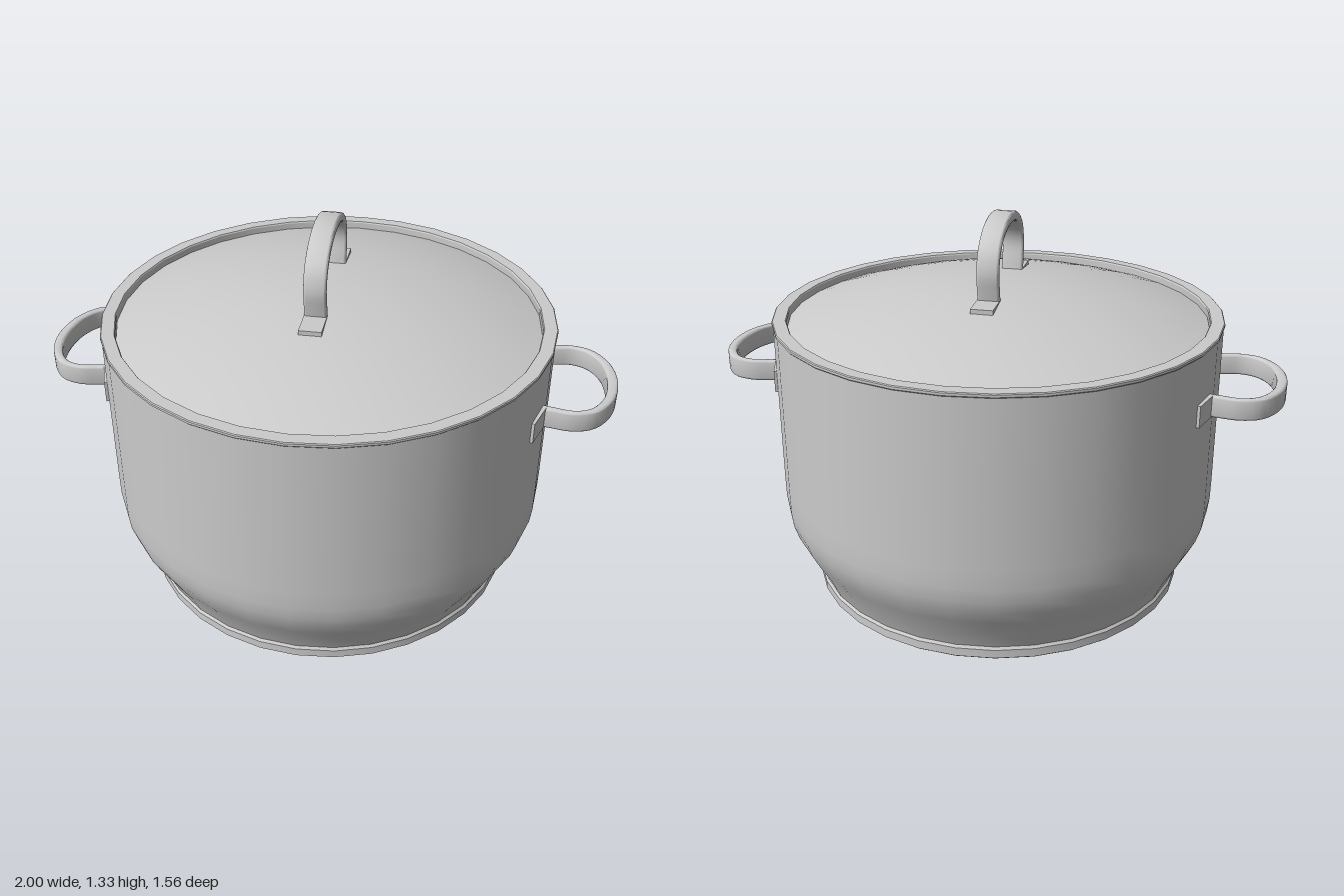
import * as THREE from 'three';
import { toCreasedNormals } from 'three/addons/utils/BufferGeometryUtils.js';

const metal = new THREE.MeshStandardMaterial({ color: 0xcccccc });
const SIDES = 32;
const STRAP = 0.076; // strap width of every handle

function addMesh(parent, name, geometry) {
  const mesh = new THREE.Mesh(geometry, metal);
  mesh.name = name;
  parent.add(mesh);
  return mesh;
}

function lathe(points) {
  const profile = points.map(([r, y]) => new THREE.Vector2(r, y));
  return toCreasedNormals(new THREE.LatheGeometry(profile, SIDES), 0.5);
}

// Mirrors half an arch (foot to crown) and smooths it
function arch(half) {
  const right = half.map(([s, h]) => new THREE.Vector2(s, h));
  const left = half.slice(0, -1).reverse().map(([s, h]) => new THREE.Vector2(-s, h));
  return new THREE.SplineCurve([...right, ...left]).getPoints(36);
}

// Strap handle: arch in local xy rising along +y, with a flat tab at each foot
function strapHandle(name, tabTilt, tabHeight) {
  const group = new THREE.Group();
  group.name = name;
  const outer = arch([[0.203, -0.02], [0.212, 0.03], [0.22, 0.1], [0.193, 0.175], [0.11, 0.231], [0, 0.25]]);
  const inner = arch([[0.178, -0.02], [0.187, 0.03], [0.198, 0.1], [0.172, 0.158], [0.1, 0.2], [0, 0.214]]);
  const bevel = 0.009;
  const bow = new THREE.ExtrudeGeometry(new THREE.Shape([...outer, ...inner.reverse()]), {
    depth: STRAP - 2 * bevel, bevelEnabled: true, bevelThickness: bevel,
    bevelSize: bevel, bevelOffset: -bevel, bevelSegments: 3,
  });
  bow.translate(0, 0, bevel - STRAP / 2);
  addMesh(group, 'bow', toCreasedNormals(bow, 0.7));
  for (const side of [-1, 1]) {
    const tab = addMesh(group, 'tab', new THREE.BoxGeometry(0.108, 0.016, STRAP));
    tab.position.set(side * 0.25, tabHeight, 0);
    tab.rotation.z = -side * tabTilt;
  }
  return group;
}

export function createModel() {
  const model = new THREE.Group();
  model.name = 'cookingPot';

  // Pot: base disc, flared lower wall, straight side, flat rim, inner wall and floor
  addMesh(model, 'potBody', lathe([
    [0, 0], [0.66, 0], [0.667, 0.006], [0.667, 0.036], [0.66, 0.045],
    [0.69, 0.115], [0.727, 0.18], [0.752, 0.23], [0.768, 0.28], [0.774, 0.33],
    [0.775, 0.4], [0.775, 0.975], [0.779, 0.979], [0.779, 0.987], [0.776, 0.99],
    [0.733, 0.99], [0.73, 0.985], [0.73, 0.4], [0.7, 0.23], [0.62, 0.06], [0, 0.05],
  ]));

  // Domed lid sitting just inside the rim
  const dome = [[0, 0.94], [0.729, 0.94]];
  for (let i = 12; i >= 0; i--) {
    const r = (0.729 * i) / 12;
    dome.push([r, 1.09 - 0.24 * r * r]);
  }
  addMesh(model, 'lid', lathe(dome));

  // Lid handle, arching from front to back
  const lidHandle = strapHandle('lidHandle', 0, -0.005);
  lidHandle.rotation.y = Math.PI / 2;
  lidHandle.position.set(-0.01, 1.08, 0);
  model.add(lidHandle);

  // Side handles, lying flat and pointing outward
  for (const side of [-1, 1]) {
    const handle = strapHandle(side > 0 ? 'leftHandle' : 'rightHandle', 0.336, -0.016);
    const along = new THREE.Vector3(0, 0, side);
    const out = new THREE.Vector3(side, 0, 0);
    const across = along.clone().cross(out);
    handle.quaternion.setFromRotationMatrix(new THREE.Matrix4().makeBasis(along, out, across));
    handle.position.set(side * 0.75, 0.772, 0);
    model.add(handle);
  }
  return model;
}
